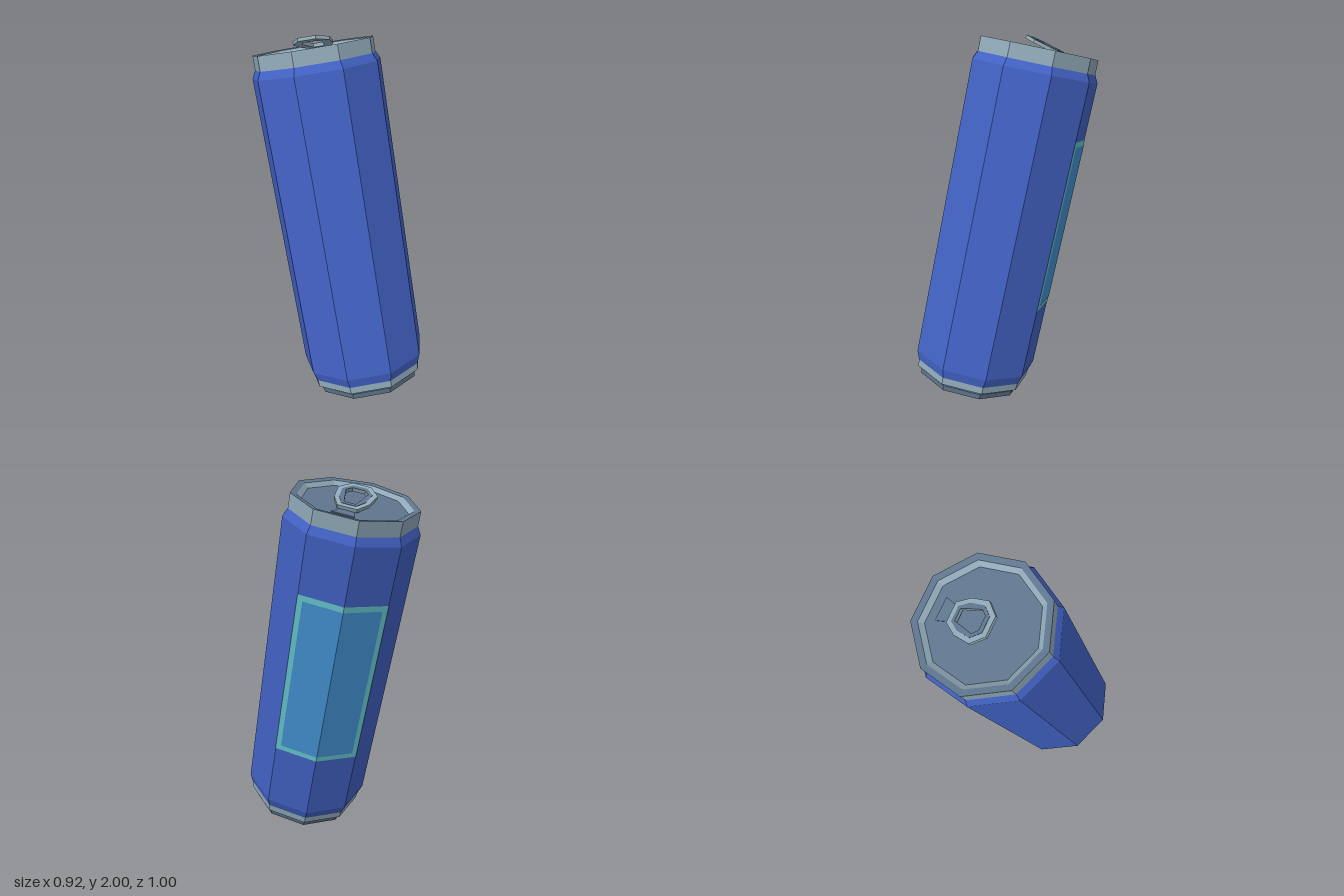
import * as THREE from 'three';

const SIDES = 9;
const paint = (name, color) => {
  const m = new THREE.MeshStandardMaterial({ color, flatShading: true });
  m.name = name;
  return m;
};

export function createModel() {
  const blue = paint('blue paint', 0x4262c4);
  const lightMetal = paint('light metal', 0x90a9b8);
  const darkMetal = paint('dark metal', 0x5e758d);
  const labelBlue = paint('label blue', 0x4390d0);
  const labelTrim = paint('label trim', 0x65c6cd);

  const can = new THREE.Group();
  can.name = 'can';
  const add = (name, geometry, material, parent = can) => {
    const mesh = new THREE.Mesh(geometry, material);
    mesh.name = name;
    parent.add(mesh);
    return mesh;
  };

  // Nine-sided rings, profiles run from bottom to top as [radius, height]
  const ring = (name, profile, material) => add(name, new THREE.LatheGeometry(
    profile.map(([r, y]) => new THREE.Vector2(r, y)), SIDES, Math.PI), material);

  ring('base', [[0, -0.952], [0.3, -0.952], [0.308, -0.92], [0.303, -0.908], [0.328, -0.905]], darkMetal);
  ring('bottomRim', [[0.328, -0.905], [0.331, -0.865]], lightMetal);
  ring('body', [[0.331, -0.865], [0.35, -0.81], [0.35, 0.832], [0.328, 0.873]], blue);
  ring('topRim', [[0.328, 0.873], [0.327, 0.95]], lightMetal);
  ring('rimTop', [[0.327, 0.95], [0.295, 0.945]], darkMetal);
  ring('innerRim', [[0.295, 0.945], [0.27, 0.925]], lightMetal);
  ring('lid', [[0.27, 0.925], [0, 0.925]], darkMetal);

  // Label folded over the two back faces; inset moves its ends in along the faces
  const label = (name, radius, inset, y0, y1, material) => {
    const corner = (deg) => new THREE.Vector2(
      Math.sin(THREE.MathUtils.degToRad(deg)), Math.cos(THREE.MathUtils.degToRad(deg))).multiplyScalar(radius);
    const fold = corner(180);
    const line = [corner(140).lerp(fold, inset), fold, corner(220).lerp(fold, inset)];
    const positions = [];
    for (let i = 0; i < 2; i++) {
      const a = line[i], b = line[i + 1];
      positions.push(a.x, y0, a.y, b.x, y0, b.y, b.x, y1, b.y);
      positions.push(a.x, y0, a.y, b.x, y1, b.y, a.x, y1, a.y);
    }
    const g = new THREE.BufferGeometry();
    g.setAttribute('position', new THREE.Float32BufferAttribute(positions, 3));
    g.computeVertexNormals();
    add(name, g, material);
  };
  label('labelBorder', 0.352, 0, -0.425, 0.525, labelTrim);
  label('labelPanel', 0.354, 0.125, -0.395, 0.495, labelBlue);

  // Flat plates on the lid: half outlines [x, z] are mirrored, thickness goes down
  const outline = (half) => [...half, ...half.map(([x, z]) => [-x, z]).reverse()]
    .map(([x, z]) => new THREE.Vector2(x, z));
  const plate = (half, depth, hole) => {
    const shape = new THREE.Shape(outline(half));
    if (hole) shape.holes.push(new THREE.Path(outline(hole)));
    return new THREE.ExtrudeGeometry(shape, { depth, bevelEnabled: false }).rotateX(Math.PI / 2);
  };
  const opener = new THREE.Group();
  opener.name = 'opener';
  opener.position.set(0.01, 0.925, -0.042);
  opener.rotation.y = THREE.MathUtils.degToRad(-20);
  can.add(opener);

  const mouth = add('mouthPanel',
    plate([[0.058, -0.169], [0.038, -0.1]], 0.006), darkMetal, opener);
  mouth.position.y = 0.005;

  // Pull tab, raised at its front end
  const tab = new THREE.Group();
  tab.name = 'pullTab';
  tab.position.y = 0.05;
  tab.rotation.x = -0.25;
  opener.add(tab);
  const hole = [[0.03, -0.073], [0.057, 0.035], [0.033, 0.063]];
  add('tabRing', plate(
    [[0.05, -0.113], [0.09, -0.046], [0.102, 0.046], [0.049, 0.11]], 0.018, hole), lightMetal, tab);
  const inlay = add('tabInlay', plate(
    [[0.037, -0.09], [0.067, -0.04], [0.077, 0.037], [0.038, 0.085]], 0.003, hole), darkMetal, tab);
  inlay.position.y = 0.002;

  // Lean the whole can
  can.quaternion.setFromUnitVectors(
    new THREE.Vector3(0, 1, 0), new THREE.Vector3(-0.148, 1, -0.21).normalize());
  can.position.set(0, 1, 0.008);

  const model = new THREE.Group();
  model.name = 'leaningCan';
  model.add(can);
  return model;
}
